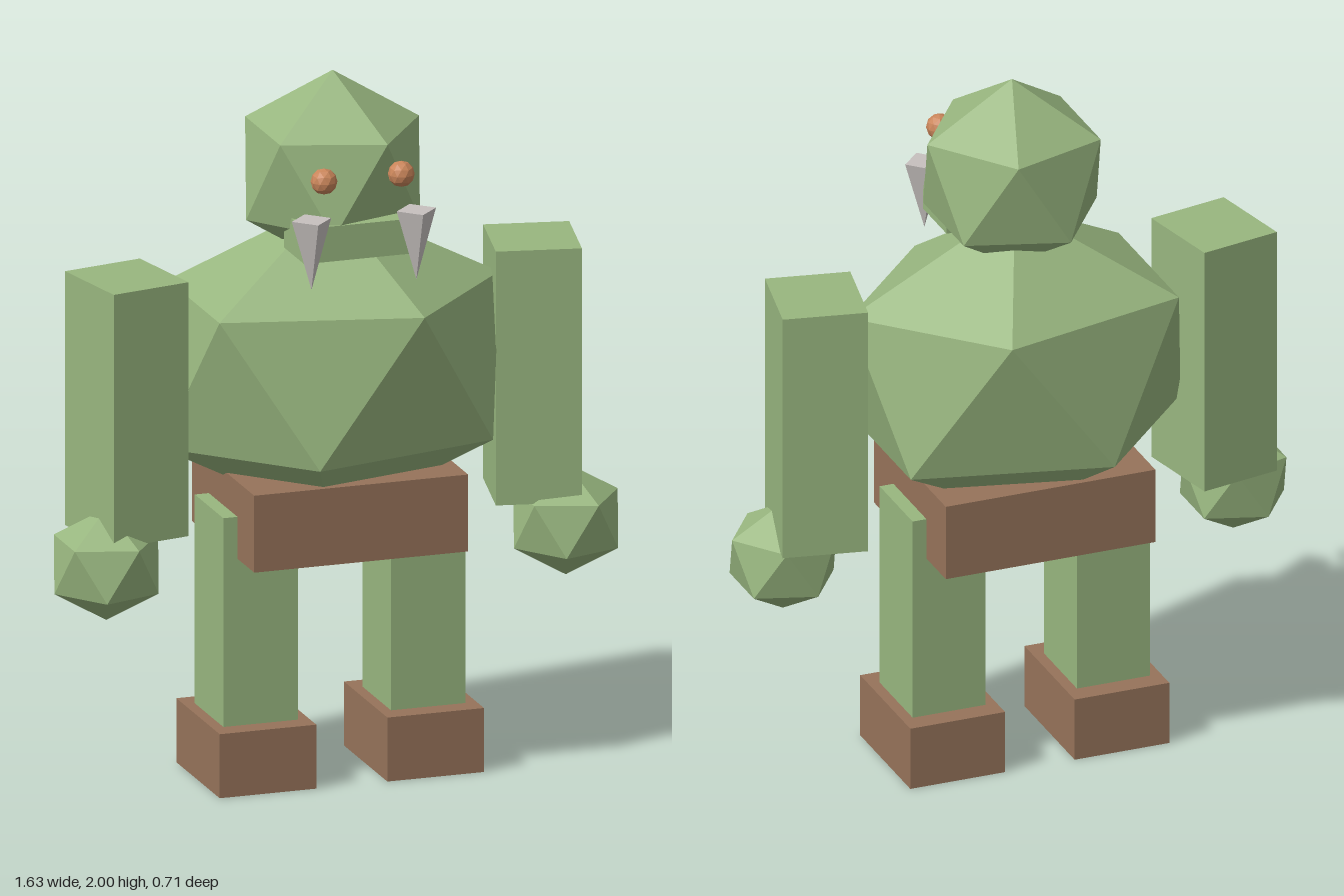
import * as THREE from 'three';

const paint = (name, color) => {
  const m = new THREE.MeshStandardMaterial({ color });
  m.name = name;
  return m;
};

export function createModel() {
  const model = new THREE.Group();
  model.name = 'troll';
  const skin = paint('green skin', 0x98b67f);
  const leather = paint('brown leather', 0x96735a);
  const amber = paint('amber', 0xc9855a);
  const ivory = paint('ivory', 0xc6c0be);

  const add = (name, geometry, material, x, y, z, turn = 0) => {
    const mesh = new THREE.Mesh(geometry, material);
    mesh.name = name;
    mesh.position.set(x, y, z);
    mesh.rotation.y = turn;
    model.add(mesh);
    return mesh;
  };

  const box = (w, h, d) => new THREE.BoxGeometry(w, h, d);

  // Give every face its own flat normal
  const faceted = (geometry) => {
    const g = geometry.index ? geometry.toNonIndexed() : geometry;
    g.computeVertexNormals();
    return g;
  };

  // Faceted ball with a corner straight up and an upper-ring corner on +x
  const ball = (rx, ry, rz, detail = 0) => {
    const g = new THREE.IcosahedronGeometry(1, detail);
    g.rotateX(-Math.atan((1 + Math.sqrt(5)) / 2));
    g.rotateY(Math.PI / 2);
    g.scale(rx, ry, rz);
    return faceted(g);
  };

  // Head, jaw and body
  add('head', ball(0.28, 0.28, 0.28), skin, 0, 1.72, 0.02);
  add('jaw', box(0.33, 0.1, 0.17), skin, 0, 1.578, 0.175);
  add('torso', ball(0.548, 0.459, 0.417), skin, 0, 1.165, 0);
  add('belt', box(0.62, 0.22, 0.52), leather, 0, 0.77, 0);

  // Paired parts
  for (const [side, s] of [['left', 1], ['right', -1]]) {
    add(side + 'Eye', ball(0.037, 0.037, 0.037, 1), amber, s * 0.112, 1.763, 0.272);

    const tusk = new THREE.ConeGeometry(0.057, 0.2, 4);
    tusk.rotateX(Math.PI);
    add(side + 'Tusk', faceted(tusk), ivory, s * 0.152, 1.56, 0.283);

    add(side + 'Arm', box(0.238, 0.726, 0.263), skin, s * 0.588, 1.096, -0.004, -s * 0.2);
    add(side + 'Fist', ball(0.168, 0.16, 0.168), skin, s * 0.666, 0.66, 0.049);
    add(side + 'Leg', box(0.216, 0.62, 0.24), skin, s * 0.243, 0.47, 0);
    add(side + 'Boot', box(0.28, 0.183, 0.364), leather, s * 0.243, 0.0915, 0);
  }
  return model;
}
